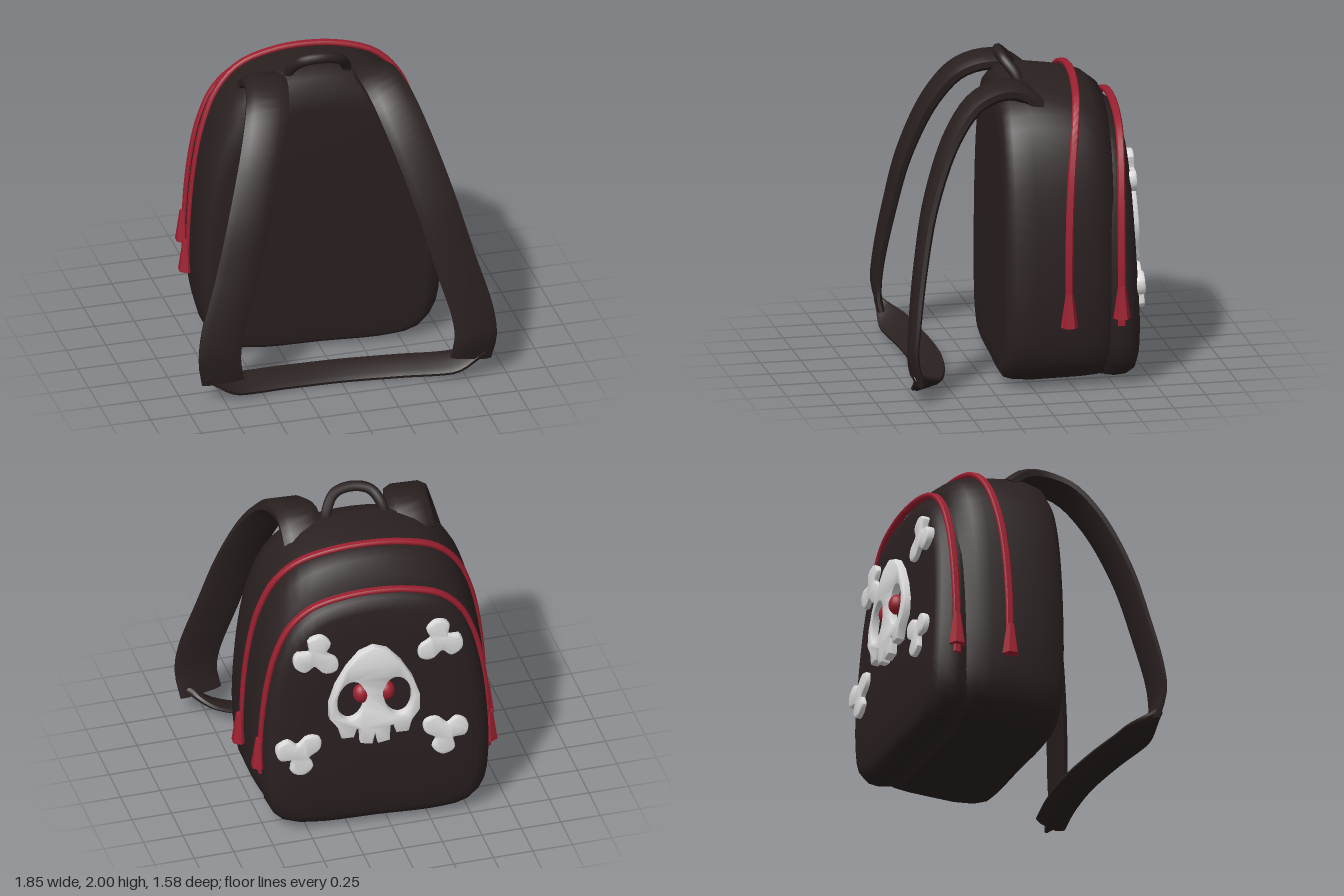
import * as THREE from 'three';
import { toCreasedNormals } from 'three/addons/utils/BufferGeometryUtils.js';

const V = (x, y, z) => new THREE.Vector3(x, y, z);
const { lerp, smoothstep } = THREE.MathUtils;

// Skin a list of equal-length rings and close both ends
function loft(rings) {
  const n = rings[0].length, pos = [], idx = [];
  rings.forEach(r => r.forEach(p => pos.push(p.x, p.y, p.z)));
  for (let i = 0; i < rings.length - 1; i++) {
    for (let j = 0; j < n; j++) {
      const a = i * n + j, b = i * n + (j + 1) % n, c = a + n, d = b + n;
      idx.push(a, c, b, b, c, d);
    }
  }
  [0, rings.length - 1].forEach((r, end) => {
    const m = V(0, 0, 0);
    rings[r].forEach(p => m.addScaledVector(p, 1 / n));
    const k = pos.length / 3;
    pos.push(m.x, m.y, m.z);
    for (let j = 0; j < n; j++) {
      const a = r * n + j, b = r * n + (j + 1) % n;
      if (end) idx.push(k, b, a); else idx.push(k, a, b);
    }
  });
  const g = new THREE.BufferGeometry();
  g.setAttribute('position', new THREE.Float32BufferAttribute(pos, 3));
  g.setIndex(idx);
  g.computeVertexNormals();
  return g;
}

// Soft-edged band along a path; side(u) and width(u) vary along it, thickness runs t0 to t1
const BAND = [[-1, -0.4], [-0.65, -1], [0.65, -1], [1, -0.4], [1, 0.4], [0.65, 1], [-0.65, 1], [-1, 0.4]];
function ribbon(points, side, width, t0, t1, steps) {
  const curve = new THREE.CatmullRomCurve3(points);
  const rings = [];
  for (let i = 0; i <= steps; i++) {
    const u = i / steps, p = curve.getPointAt(u), t = curve.getTangentAt(u), s = side(u);
    const w = s.clone().addScaledVector(t, -s.dot(t)).normalize();
    const nrm = w.clone().cross(t);
    const h = lerp(t0, t1, u) / 2;
    rings.push(BAND.map(([a, b]) =>
      p.clone().addScaledVector(w, a * width(u) / 2).addScaledVector(nrm, b * h)));
  }
  return toCreasedNormals(loft(rings), 0.8);
}

// Half outline of the bag, bottom centre to top centre
const HALF = [[0, 0.02], [0.42, 0.02], [0.62, 0.06], [0.72, 0.18], [0.76, 0.45], [0.75, 0.85],
  [0.71, 1.2], [0.66, 1.42], [0.57, 1.63], [0.43, 1.77], [0.22, 1.84], [0, 1.86]];
const mirrored = pts => pts.concat(pts.slice(0, -1).reverse().map(([x, y]) => [-x, y]));
const OUTLINE = new THREE.CatmullRomCurve3(
  mirrored(HALF).slice(0, -1).map(([x, y]) => V(x, y, 0)), true).getSpacedPoints(64).slice(0, 64);

// Bag volume: the outline scaled about height cy at each depth [z, scale]
function shell(sections, sx, sy, cy, lean) {
  return loft(sections.map(([z, s]) => OUTLINE.map(p => {
    const y = cy + (p.y * sy - cy) * s;
    return V(p.x * sx * s, y, z + lean * Math.max(0, y - 0.4));
  })));
}

// Zip following the bag outline, drifting back towards the top
function zip(sx, sy, z0, z1) {
  const pts = mirrored(HALF.slice(4)).map(([x, y]) => {
    const k = Math.max(0, (y - 0.5) / 1.36);
    return V(x * sx, y * sy, z0 + (z1 - z0) * k ** 3);
  });
  return ribbon(pts, () => V(0, 0, 1), () => 0.048, 0.03, 0.03, 64);
}

export function createModel() {
  const fabric = new THREE.MeshStandardMaterial({ color: 0x2a2020 });
  fabric.name = 'dark fabric';
  const red = new THREE.MeshStandardMaterial({ color: 0x9c2030 });
  red.name = 'red trim';
  const white = new THREE.MeshStandardMaterial({ color: 0xdadada });
  white.name = 'white patch';

  const model = new THREE.Group();
  model.name = 'backpack';
  const bag = new THREE.Group();
  bag.name = 'bag';
  bag.rotation.y = -0.07;
  bag.position.x = 0.02;
  model.add(bag);
  const add = (name, geo, mat, parent = bag) => {
    const m = new THREE.Mesh(geo, mat);
    m.name = name;
    parent.add(m);
    return m;
  };

  // Main compartment and rear pocket
  add('mainCompartment', shell([[0.14, 0.5], [0.135, 0.86], [0.12, 0.94], [0.07, 0.98], [-0.05, 1],
    [-0.25, 0.985], [-0.36, 0.975], [-0.45, 0.955], [-0.54, 0.91], [-0.56, 0.8]], 1, 1, 0.3, 0), fabric);
  add('rearPocket', shell([[-0.42, 0.97], [-0.56, 1], [-0.63, 0.99], [-0.68, 0.95], [-0.705, 0.87],
    [-0.717, 0.7], [-0.722, 0.4]], 0.93, 0.89, 0.7, 0.05), fabric);

  // Zips with flared pulls
  [['main', 0.99, 0.99, -0.25, -0.36, 0.765, 0.52],
    ['pocket', 0.934, 0.893, -0.58, -0.61, 0.715, 0.55]].forEach(([n, sx, sy, z0, z1, px, py]) => {
    add(n + 'Zip', zip(sx, sy, z0, z1), red);
    for (const s of [-1, 1]) {
      const pull = new THREE.CylinderGeometry(0.025, 0.054, 0.2, 6);
      add(n + 'ZipPull', toCreasedNormals(pull, 0.5), red).position.set(s * px, py, z0);
    }
  });

  // Shoulder straps, turning under at the lower corners
  const path = [[0.34, 1.72, -0.12], [0.34, 1.8, -0.02], [0.345, 1.82, 0.1], [0.385, 1.76, 0.27],
    [0.455, 1.57, 0.425], [0.57, 1.2, 0.575], [0.68, 0.8, 0.66], [0.78, 0.45, 0.71],
    [0.795, 0.29, 0.72], [0.77, 0.14, 0.695]];
  for (const s of [-1, 1]) {
    const pts = path.map(([x, y, z]) => V(s * x + 0.05 * z, y, z));
    const side = u => V(1, s * 0.45 * smoothstep(u, 0.85, 1), 0);
    add(s > 0 ? 'leftStrap' : 'rightStrap', ribbon(pts, side, () => 0.26, 0.1, 0.045, 40), fabric);
  }

  // Band joining the lower strap ends, tapering into each corner
  const band = [[0.87, 0.18, 0.7], [0.7, 0.085, 0.63], [0.35, 0.05, 0.555], [0, 0.04, 0.525]];
  const bandPts = band.concat(band.slice(0, -1).reverse().map(([x, y, z]) => [-x, y, z]))
    .map(([x, y, z]) => V(x + 0.03, y, z));
  const bandWidth = u => lerp(0.04, 0.19, smoothstep(Math.min(u, 1 - u), -0.02, 0.13));
  add('lowerBand', ribbon(bandPts, () => V(0, -0.3, 1), bandWidth, 0.045, 0.045, 40), fabric);

  // Grab handle
  const loop = [[-0.19, 1.77, -0.04], [-0.17, 1.87, 0], [-0.11, 1.945, 0.06], [0, 1.967, 0.08],
    [0.11, 1.945, 0.06], [0.17, 1.87, 0], [0.19, 1.77, -0.04]].map(p => V(...p));
  add('handle', new THREE.TubeGeometry(new THREE.CatmullRomCurve3(loop), 32, 0.033, 8), fabric);

  // Emblem facing the rear, leaning with the pocket
  const emblem = new THREE.Group();
  emblem.name = 'emblem';
  emblem.position.set(0.03, 0.97, -0.66);
  emblem.rotation.set(0.055, Math.PI, 0);
  bag.add(emblem);
  const patch = (shape, depth) => toCreasedNormals(new THREE.ExtrudeGeometry(shape, {
    depth, bevelEnabled: true, bevelThickness: 0.015, bevelSize: 0.012, bevelSegments: 2, curveSegments: 16
  }), 0.7);

  // Skull with eye sockets and teeth
  const face = [[0, 0.33], [0.08, 0.3], [0.16, 0.21], [0.23, 0.09], [0.27, -0.03], [0.27, -0.13],
    [0.22, -0.2], [0.2, -0.27], [0.14, -0.27], [0.12, -0.21], [0.085, -0.22], [0.08, -0.32],
    [0.025, -0.33], [0, -0.25]];
  const outline = mirrored(face).slice(0, -1).map(([x, y]) => new THREE.Vector2(x, y));
  const skull = new THREE.Shape(outline);
  for (const s of [-1, 1]) {
    skull.holes.push(new THREE.Path().absellipse(s * 0.145, -0.02, 0.098, 0.145, 0, Math.PI * 2, false, s * 0.12));
  }
  add('skull', patch(skull, 0.07), white, emblem);
  for (const s of [-1, 1]) {
    const eye = add('eye', new THREE.SphereGeometry(0.058, 16, 12), red, emblem);
    eye.position.set(s * 0.078, 0.01, 0.045);
    eye.scale.set(0.9, 1.1, 0.85);
  }

  // Bone ends: two knobs outward, a short shaft towards the skull
  const knob = [[0, -0.13], [0.05, -0.09], [0.05, 0], [0.115, 0.02], [0.12, 0.09], [0.06, 0.125], [0, 0.07]];
  const bonePts = mirrored(knob).slice(0, -1).map(([x, y]) => V(x, y, 0));
  const bone = new THREE.Shape(new THREE.CatmullRomCurve3(bonePts, true).getPoints(40).slice(0, 40)
    .map(p => new THREE.Vector2(p.x, p.y)));
  const boneGeo = patch(bone, 0.045);
  [[-0.335, 0.29], [0.4, 0.3], [-0.45, -0.36], [0.425, -0.33]].forEach(([x, y]) => {
    const b = add('bone', boneGeo, white, emblem);
    b.position.set(x, y, 0);
    b.rotation.z = Math.atan2(-x, y);
  });

  return model;
}
